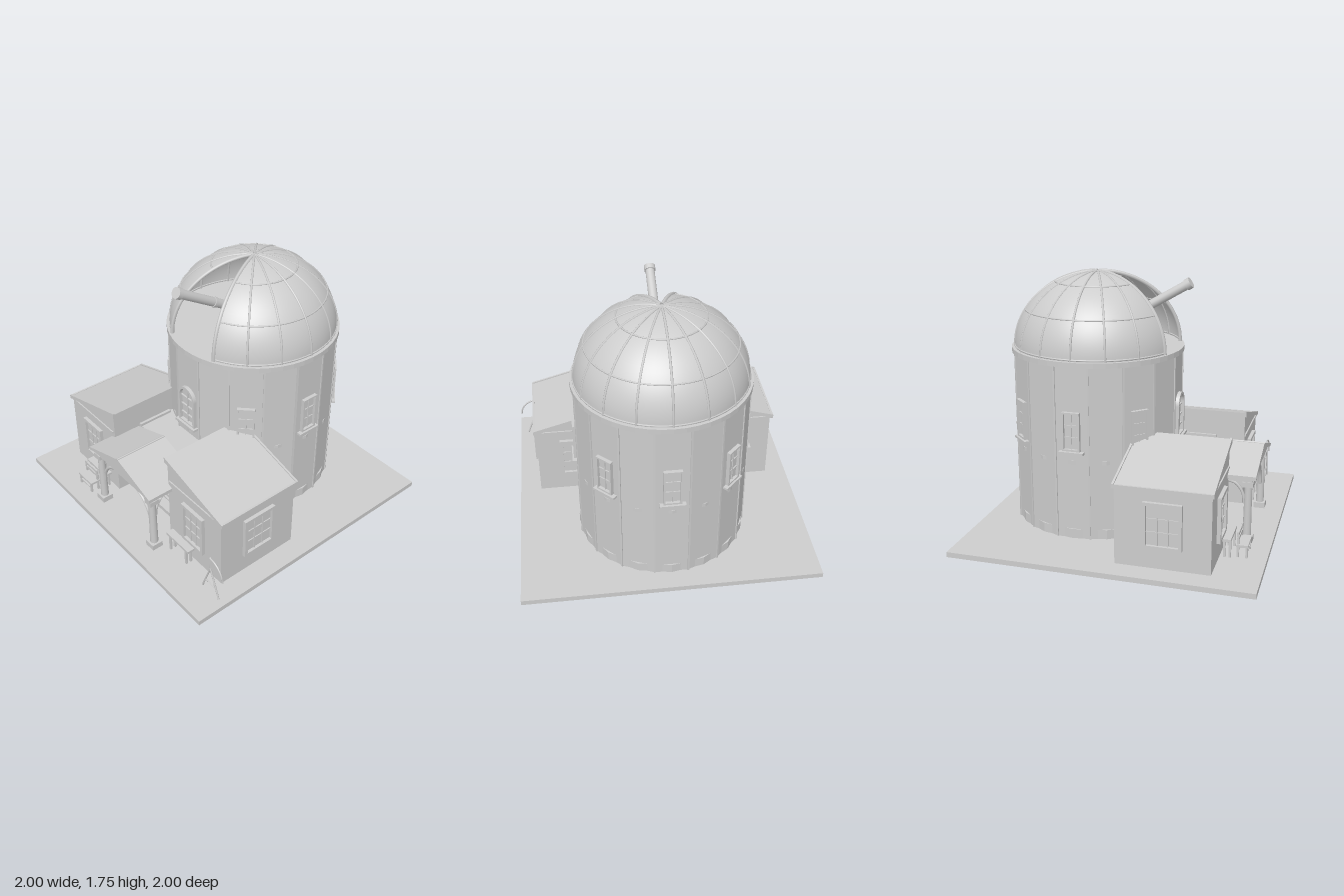
import * as THREE from 'three';

const stone = new THREE.MeshStandardMaterial({ color: 0xcccccc, side: THREE.DoubleSide });
stone.name = 'pale grey';
const flat = (g) => { const n = g.toNonIndexed(); n.computeVertexNormals(); return n; };
const V = (x, y, z) => new THREE.Vector3(x, y, z);

function add(parent, name, geo, x = 0, y = 0, z = 0) {
  const m = new THREE.Mesh(geo, stone);
  m.name = name;
  m.position.set(x, y, z);
  parent.add(m);
  return m;
}
const box = (p, name, w, h, d, x, y, z) => add(p, name, new THREE.BoxGeometry(w, h, d), x, y, z);

// round bar between two points
function bar(p, name, a, b, r, r2 = r, seg = 8) {
  const m = add(p, name, new THREE.CylinderGeometry(r2, r, a.distanceTo(b), seg));
  m.position.copy(a).add(b).multiplyScalar(0.5);
  m.quaternion.setFromUnitVectors(V(0, 1, 0), b.clone().sub(a).normalize());
  return m;
}
const tube = (p, name, pts, r, seg = 20) =>
  add(p, name, new THREE.TubeGeometry(new THREE.CatmullRomCurve3(pts), seg, r, 6, false));

// outline in x,y pushed along z
function prism(p, name, pts, z0, z1) {
  const s = new THREE.Shape(pts.map(([x, y]) => new THREE.Vector2(x, y)));
  return add(p, name, new THREE.ExtrudeGeometry(s, { depth: z1 - z0, bevelEnabled: false }), 0, 0, z0);
}

// rectangular window facing +z, centred on its origin
function windowUnit(p, name, w, h, cols, rows, frame, sill) {
  const g = new THREE.Group();
  g.name = name;
  p.add(g);
  box(g, 'pane', w, h, 0.004, 0, 0, 0.003);
  for (const s of [-1, 1]) {
    box(g, 'frameSide', frame, h, 0.025, s * (w - frame) / 2, 0, 0.0125);
    box(g, 'frameRail', w, frame, 0.025, 0, s * (h - frame) / 2, 0.0125);
  }
  const iw = w - 2 * frame, ih = h - 2 * frame;
  for (let i = 1; i < cols; i++) box(g, 'mullion', 0.007, ih, 0.012, -iw / 2 + iw * i / cols, 0, 0.006);
  for (let i = 1; i < rows; i++) box(g, 'glazingBar', iw, 0.007, 0.012, 0, -ih / 2 + ih * i / rows, 0.006);
  if (sill) box(g, 'sill', sill, 0.015, 0.035, 0, -h / 2 - 0.012, 0.0175);
  return g;
}

// arched outline, optionally hollow
function archGeo(w, h, border, depth) {
  const path = (P, half, low, top) => {
    P.moveTo(-half, low);
    P.lineTo(half, low);
    P.lineTo(half, top - half);
    P.absarc(0, top - half, half, 0, Math.PI, false);
    P.lineTo(-half, low);
    return P;
  };
  const s = path(new THREE.Shape(), w / 2, 0, h);
  if (border) s.holes.push(path(new THREE.Path(), w / 2 - border, border * 0.6, h - border));
  return new THREE.ExtrudeGeometry(s, { depth, bevelEnabled: false, curveSegments: 16 });
}

function tower(root) {
  const g = new THREE.Group();
  g.name = 'tower';
  g.position.z = -0.285;
  root.add(g);
  const R = 0.58, step = Math.PI / 8, ap = R * Math.cos(step / 2);
  const drum = (name, r, y0, y1, turn, n = 16) => {
    const m = add(g, name, flat(new THREE.CylinderGeometry(r, r, y1 - y0, n)), 0, (y0 + y1) / 2, 0);
    m.rotation.y = turn;
  };
  drum('towerWall', R, 0.035, 1.21, step / 2);
  drum('plinth', 0.581, 0.035, 0.1, 0);
  drum('stringCourse', 0.574, 0.555, 0.58, 0);
  drum('domeRing', 0.592, 1.205, 1.24, 0, 48);
  for (let i = 0; i < 16; i++) {
    const a = (i + 0.5) * step;
    box(g, 'cornerStrip', 0.012, 1.17, 0.012, R * Math.sin(a), 0.62, R * Math.cos(a)).rotation.y = a;
  }
  for (let i = 1; i < 8; i++) {
    const a = i * Math.PI / 4;
    const w = windowUnit(g, 'towerWindow', 0.12, 0.26, 2, 3, 0.012, 0.17);
    w.position.set(ap * Math.sin(a), 0.78, ap * Math.cos(a));
    w.rotation.y = a;
  }
  // arched front window
  add(g, 'archedWindowFrame', archGeo(0.17, 0.3, 0.018, 0.025), 0, 0.635, ap);
  box(g, 'archedWindowSill', 0.2, 0.018, 0.045, 0, 0.628, ap + 0.02);
  box(g, 'archedWindowMullion', 0.008, 0.27, 0.012, 0, 0.78, ap + 0.006);
  for (const y of [0.7, 0.77, 0.84]) box(g, 'archedWindowBar', 0.135, 0.008, 0.012, 0, y, ap + 0.006);

  // dome with a wedge opening at the front
  const DR = 0.57, DH = 0.505, Y = 1.235;
  const prof = [];
  for (let i = 0; i <= 24; i++) {
    const t = i / 24 * Math.PI / 2;
    prof.push(new THREE.Vector2(DR * Math.cos(t), DH * Math.sin(t)));
  }
  add(g, 'domeShell', new THREE.LatheGeometry(prof, 70, step, 14 * step), 0, Y, 0);
  for (let i = 1; i < 16; i++) {
    const a = i * step, edge = i === 1 || i === 15;
    const pts = [];
    for (let k = 0; k <= 12; k++) {
      const t = k / 12 * 1.55;
      pts.push(V(DR * Math.cos(t) * Math.sin(a), Y + DH * Math.sin(t), DR * Math.cos(t) * Math.cos(a)));
    }
    tube(g, edge ? 'openingEdge' : 'domeRib', pts, edge ? 0.013 : 0.008, 24);
  }
  for (const t of [0.03, 0.53, 1.047]) {
    const pts = [];
    for (let k = 0; k <= 28; k++) {
      const a = step * (1 + k / 2);
      pts.push(V(DR * Math.cos(t) * Math.sin(a), Y + DH * Math.sin(t), DR * Math.cos(t) * Math.cos(a)));
    }
    tube(g, 'domeHoop', pts, 0.006, 70);
  }
}

function telescope(root) {
  const g = new THREE.Group();
  g.name = 'telescope';
  root.add(g);
  const at = (t) => V(0, 1.38, -0.16).lerp(V(0, 1.685, 0.36), t);
  bar(g, 'telescopeTube', at(0), at(1), 0.031, 0.031, 20);
  bar(g, 'telescopeHood', at(0.94), at(1), 0.038, 0.038, 20);
  bar(g, 'telescopeCollar', at(0.4), at(0.44), 0.036, 0.036, 20);
  bar(g, 'eyepiece', at(-0.09), at(0), 0.018, 0.02, 12);
  box(g, 'mountHead', 0.1, 0.07, 0.08, 0, 1.385, -0.11);
  bar(g, 'mountAxle', V(0, 1.385, -0.11), V(0.07, 1.385, -0.11), 0.012);
  bar(g, 'mountWheel', V(0.068, 1.385, -0.11), V(0.082, 1.385, -0.11), 0.035, 0.035, 16);
  for (let i = 0; i < 3; i++) {
    const a = i * Math.PI * 2 / 3 + 0.5;
    bar(g, 'mountLeg', V(0, 1.36, -0.11), V(0.09 * Math.sin(a), 1.235, -0.11 + 0.09 * Math.cos(a)), 0.009);
  }
}

function wing(root, s) {
  const g = new THREE.Group();
  g.name = s > 0 ? 'leftWing' : 'rightWing';
  root.add(g);
  const m = (pts) => pts.map(([x, y]) => [s * x, y]);
  prism(g, 'wingWalls', m([[0.31, 0.035], [0.85, 0.035], [0.85, 0.555], [0.31, 0.71]]), 0.085, 0.7);
  prism(g, 'wingRoof', m([[0.29, 0.705], [0.29, 0.73], [0.87, 0.565], [0.87, 0.545]]), 0.075, 0.712);
  for (const z of [0.081, 0.706])
    prism(g, 'roofEdge', m([[0.29, 0.7], [0.29, 0.738], [0.87, 0.573], [0.87, 0.545]]), z - 0.007, z + 0.007);
  for (const z of [0.08, 0.703]) box(g, 'eaveBand', 0.54, 0.014, 0.012, s * 0.595, 0.552, z);
  box(g, 'eaveTrim', 0.014, 0.026, 0.64, s * 0.865, 0.558, 0.393);
  // front, back and outer side windows
  [[0.58, 0.7, 0], [0.58, 0.085, Math.PI], [0.85, 0.395, s * Math.PI / 2]].forEach(([x, z, a]) => {
    const w = windowUnit(g, 'wingWindow', a % Math.PI ? 0.25 : 0.215, 0.305, 3, 3, 0.022, 0);
    w.position.set(s * x, 0.325, z);
    w.rotation.y = a;
  });
  // bench
  box(g, 'benchSeat', 0.235, 0.018, 0.055, s * 0.485, 0.16, 0.748);
  for (const x of [0.4, 0.57]) for (const z of [0.73, 0.766])
    box(g, 'benchLeg', 0.016, 0.12, 0.014, s * x, 0.095, z);
  box(g, 'benchRail', 0.17, 0.01, 0.01, s * 0.485, 0.135, 0.748);
}

function entrance(root) {
  const g = new THREE.Group();
  g.name = 'entrance';
  root.add(g);
  box(g, 'entranceHall', 0.6, 0.5, 0.3, 0, 0.285, 0.345);
  for (const s of [-1, 1]) box(g, 'hallRoofEdge', 0.02, 0.02, 0.26, s * 0.285, 0.543, 0.37);
  // door
  box(g, 'doorStep', 0.3, 0.03, 0.1, 0, 0.05, 0.54);
  add(g, 'doorFrame', archGeo(0.23, 0.37, 0.022, 0.025), 0, 0.065, 0.495);
  for (const s of [-1, 1]) {
    box(g, 'doorLeaf', 0.084, 0.32, 0.012, s * 0.044, 0.24, 0.501);
    bar(g, 'doorHandle', V(s * 0.016, 0.205, 0.514), V(s * 0.016, 0.235, 0.514), 0.005);
    for (const y of [0.11, 0.135, 0.345]) box(g, 'doorRail', 0.074, 0.008, 0.008, s * 0.044, y, 0.508);
  }
  // porch roof
  prism(g, 'porchRoof', [[0, 0.622], [-0.35, 0.505], [-0.35, 0.48], [0, 0.595], [0.35, 0.48], [0.35, 0.505]], 0.5, 0.885);
  prism(g, 'porchGable', [[-0.33, 0.488], [0.33, 0.488], [0, 0.6]], 0.845, 0.87);
  bar(g, 'porchRidge', V(0, 0.62, 0.5), V(0, 0.62, 0.887), 0.008);
  box(g, 'porchBeam', 0.66, 0.035, 0.06, 0, 0.475, 0.83);
  for (const s of [-1, 1]) {
    box(g, 'porchSideBeam', 0.05, 0.035, 0.34, s * 0.3, 0.475, 0.67);
    for (const z of [0.83, 0.55]) {
      box(g, 'columnBase', 0.08, 0.04, 0.08, s * 0.3, 0.055, z);
      bar(g, 'columnShaft', V(s * 0.3, 0.07, z), V(s * 0.3, 0.425, z), 0.028, 0.025, 12);
      box(g, 'columnCap', 0.07, 0.035, 0.07, s * 0.3, 0.44, z);
    }
    // curved braces
    const arc = [0, 1, 2, 3, 4].map((k) => k * Math.PI / 8);
    tube(g, 'frontBrace', arc.map((t) => V(s * (0.06 + 0.215 * Math.cos(t)), 0.22 + 0.22 * Math.sin(t), 0.83)), 0.012);
    tube(g, 'sideBrace', arc.map((t) => V(s * 0.3, 0.3 + 0.15 * Math.sin(t), 0.7 + 0.105 * Math.cos(t))), 0.01);
  }
}

function yardItems(root) {
  // chair
  const c = new THREE.Group();
  c.name = 'chair';
  c.position.set(-0.483, 0, 0.842);
  root.add(c);
  box(c, 'chairSeat', 0.165, 0.016, 0.075, 0, 0.115, 0);
  for (const s of [-1, 1]) {
    box(c, 'chairFrontLeg', 0.016, 0.08, 0.014, s * 0.068, 0.075, 0.028);
    box(c, 'chairBackPost', 0.016, 0.175, 0.014, s * 0.068, 0.122, -0.028);
  }
  for (const y of [0.16, 0.195]) box(c, 'chairBackRail', 0.16, 0.02, 0.012, 0, y, -0.028);
  box(c, 'chairStretcher', 0.136, 0.01, 0.01, 0, 0.07, 0.028);
  // yard stand with a curved arm
  const st = new THREE.Group();
  st.name = 'yardStand';
  root.add(st);
  for (const x of [0.78, 0.94]) bar(st, 'standLeg', V(x, 0.035, 0.795), V(0.86, 0.25, 0.795), 0.006);
  bar(st, 'standPole', V(0.86, 0.24, 0.795), V(0.86, 0.345, 0.795), 0.005);
  bar(st, 'standCrossbar', V(0.81, 0.11, 0.795), V(0.91, 0.11, 0.795), 0.004);
  tube(st, 'standArm', [0, 1, 2, 3, 4].map((k) => k * Math.PI / 8)
    .map((t) => V(0.86 + 0.12 * Math.sin(t), 0.22 + 0.122 * Math.cos(t), 0.797)), 0.006);
}

export function createModel() {
  const root = new THREE.Group();
  root.name = 'observatory';
  box(root, 'groundSlab', 2, 0.035, 2, 0, 0.0175, 0);
  tower(root);
  telescope(root);
  for (const s of [-1, 1]) wing(root, s);
  entrance(root);
  yardItems(root);
  return root;
}
